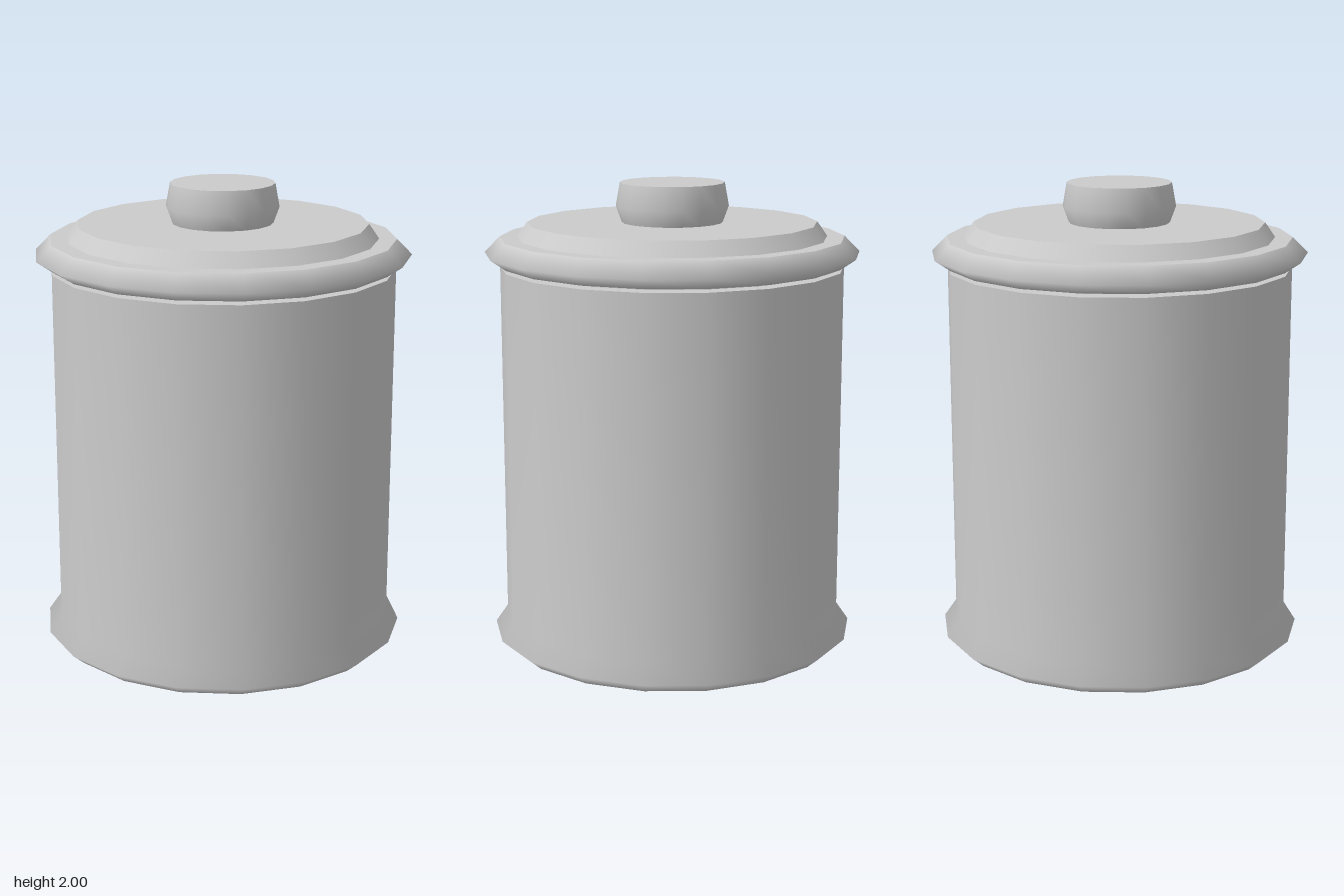
import * as THREE from 'three';
import { mergeGeometries } from 'three/addons/utils/BufferGeometryUtils.js';

const SIDES = 18;
const material = new THREE.MeshStandardMaterial({ color: 0xcccccc });

// Turned part: each section is a smooth [radius, y] profile, with sharp edges between sections
function turned(name, sections) {
  const geometries = sections.map((points) => new THREE.LatheGeometry(
    points.map(([r, y]) => new THREE.Vector2(r, y)), SIDES, Math.PI / 2));
  const mesh = new THREE.Mesh(mergeGeometries(geometries), material);
  mesh.name = name;
  return mesh;
}

export function createModel() {
  const group = new THREE.Group();
  group.name = 'lidded jar';

  // Straight body with a flared foot and a narrower neck under the lid
  group.add(turned('body', [
    [[0, 0], [0.735, 0]],
    [[0.735, 0], [0.787, 0.045], [0.735, 0.12], [0.735, 1.645]],
    [[0.735, 1.645], [0.66, 1.645]],
    [[0.66, 1.645], [0.66, 1.662]],
  ]));

  // Lid with a pointed rim and a raised, bevelled centre
  group.add(turned('lid', [
    [[0, 1.66], [0.735, 1.66]],
    [[0.735, 1.66], [0.8, 1.705], [0.735, 1.77]],
    [[0.735, 1.77], [0.66, 1.77]],
    [[0.66, 1.77], [0.617, 1.832]],
    [[0.617, 1.832], [0, 1.832]],
  ]));

  // Bulging knob with a flat top
  group.add(turned('knob', [
    [[0.215, 1.832], [0.24, 1.9], [0.222, 2]],
    [[0.222, 2], [0, 2]],
  ]));

  return group;
}
